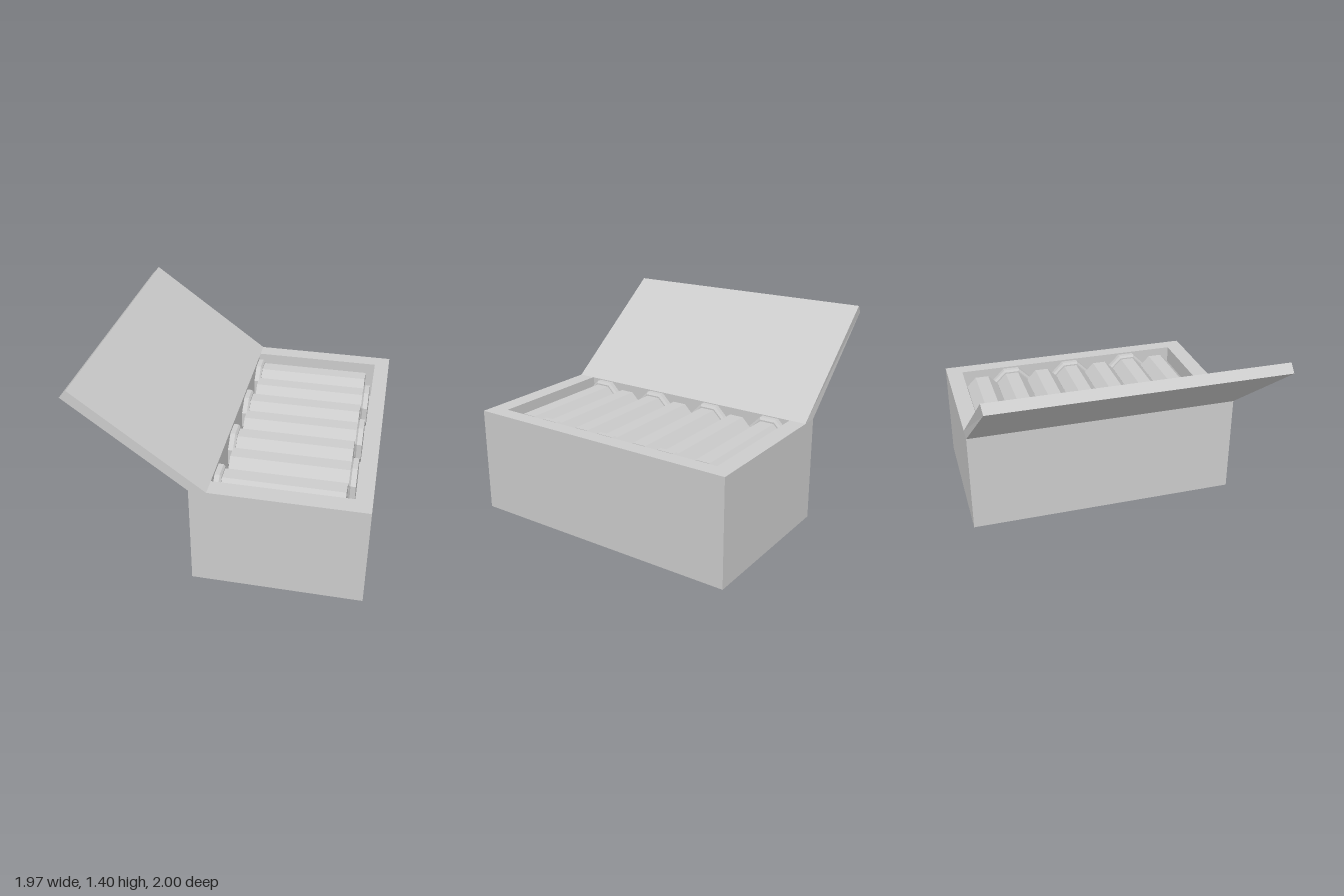
import * as THREE from 'three';

const material = new THREE.MeshStandardMaterial({ color: 0xcccccc, flatShading: true });

function addMesh(parent, name, geometry) {
  const mesh = new THREE.Mesh(geometry, material);
  mesh.name = name;
  parent.add(mesh);
  return mesh;
}

// Rectangle corners in plan, as [x, y] points
function rectangle(x0, x1, y0, y1) {
  return [[x0, y0], [x1, y0], [x1, y1], [x0, y1]].map(([x, y]) => new THREE.Vector2(x, y));
}

export function createModel() {
  const model = new THREE.Group();
  model.name = 'cartridgeBox';

  // Thick box walls around an open recess
  const plan = new THREE.Shape(rectangle(-0.19, 0.98, -1, 1));
  plan.holes.push(new THREE.Path(rectangle(-0.08, 0.87, -0.875, 0.88)));
  const walls = new THREE.ExtrudeGeometry(plan, { depth: 0.75, bevelEnabled: false });
  walls.rotateX(-Math.PI / 2);
  addMesh(model, 'boxWalls', walls);

  // Recess floor, filling the box down to its underside
  const floor = new THREE.BoxGeometry(0.95, 0.45, 1.755);
  floor.translate(0.395, 0.225, -0.0025);
  addMesh(model, 'boxFloor', floor);

  // Open lid: a slanted slab, slightly narrower at the back of its free edge
  const lid = new THREE.BoxGeometry(2, 2, 2);
  const p = lid.attributes.position;
  for (let i = 0; i < p.count; i++) {
    const upper = p.getY(i) > 0, inner = p.getX(i) > 0, back = p.getZ(i) < 0;
    const [x, y] = upper
      ? (inner ? [-0.935, 1.405] : [-0.985, 1.35])
      : (inner ? [-0.07, 0.75] : [-0.19, 0.75]);
    const z = back ? (upper ? (inner ? -0.975 : -0.968) : -1) : 1;
    p.setXYZ(i, x, y, z);
  }
  lid.computeVertexNormals();
  addMesh(model, 'lid', lid);

  // Row of eight-sided cartridges, rims alternating from side to side
  const c = 1 / Math.cos(Math.PI / 8);
  const profile = [
    [0, -0.46], [0.147, -0.46], [0.147, -0.425], [0.132, -0.412],
    [0.122, -0.412], [0.122, 0.41], [0, 0.41],
  ].map(([r, y]) => new THREE.Vector2(r * c, y));
  const cartridge = new THREE.LatheGeometry(profile, 8, Math.PI / 8);
  cartridge.rotateZ(-Math.PI / 2);
  for (let i = 0; i < 7; i++) {
    const shell = addMesh(model, 'cartridge' + (i + 1), cartridge);
    shell.position.set(0.395, 0.598, -0.734 + i * 0.2443);
    if (i % 2) shell.rotation.y = Math.PI;
  }

  return model;
}
